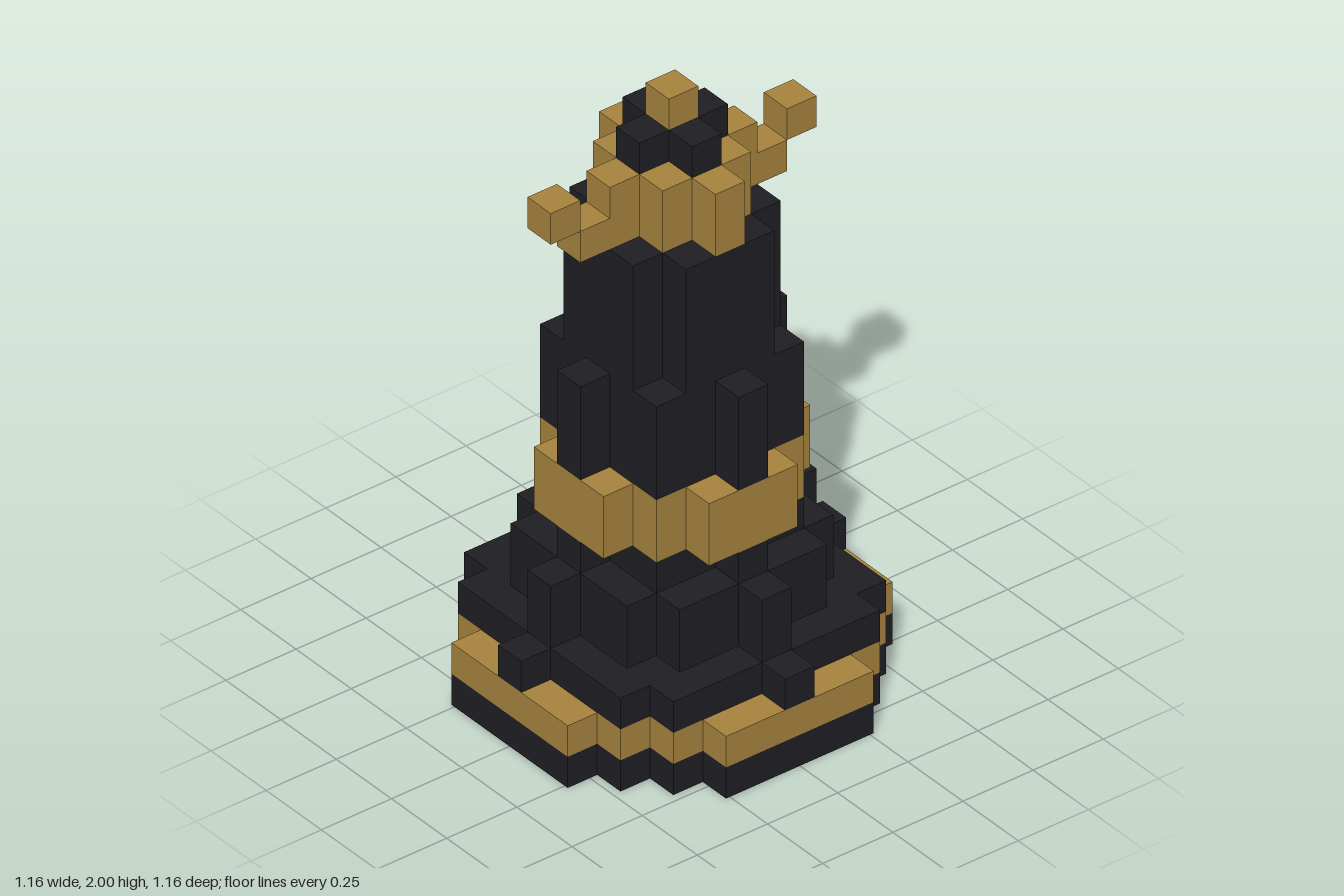
import * as THREE from 'three';

const U = 2 / 19; // edge of one block; the piece is 19 blocks tall
const black = new THREE.MeshStandardMaterial({ color: 0x1f1e23, flatShading: true });
const gold = new THREE.MeshStandardMaterial({ color: 0xa6833e, flatShading: true });

// Stepped outline of a disc made of square blocks
function blockDisc(radius) {
  const n = Math.floor(radius);
  const side = [];
  for (let z = -n; z <= n; z++) {
    const w = Math.floor(Math.sqrt(radius * radius - z * z)) + 0.5;
    side.push([w, z - 0.5], [w, z + 0.5]);
  }
  const mirrored = side.map(([x, z]) => [-x, z]).reverse();
  return new THREE.Shape([...side, ...mirrored].map(([x, z]) => new THREE.Vector2(x * U, z * U)));
}

// name, disc radius, first layer, number of layers, material
const tiers = [
  ['foot', 5.5, 0, 1, black],
  ['footBand', 5.5, 1, 1, gold],
  ['baseStep', 5, 2, 1, black],
  ['baseCollar', 4, 3, 2, black],
  ['waist', 3, 5, 1, black],
  ['waistBand', 3.5, 6, 2, gold],
  ['lowerBody', 3, 8, 3, black],
  ['upperBody', 2.5, 11, 4, black],
  ['crown', 2, 15, 2, gold],
  ['crownCap', 1, 17, 1, black],
  ['finial', 0.5, 18, 1, gold],
];

export function createModel() {
  const group = new THREE.Group();

  // Stacked round tiers
  for (const [name, radius, layer, count, material] of tiers) {
    const geometry = new THREE.ExtrudeGeometry(blockDisc(radius), { depth: count * U, bevelEnabled: false });
    geometry.rotateX(-Math.PI / 2);
    const mesh = new THREE.Mesh(geometry, material);
    mesh.name = name;
    mesh.position.y = layer * U;
    group.add(mesh);
  }

  // Crown arms: one block outward, then one up and outward
  for (const s of [-1, 1]) {
    const arm = new THREE.Group();
    arm.name = s > 0 ? 'leftCrownArm' : 'rightCrownArm';
    for (const [x, layer] of [[3, 15], [4, 16]]) {
      const block = new THREE.Mesh(new THREE.BoxGeometry(U, U, U), gold);
      block.name = x === 3 ? 'armBlock' : 'armTip';
      block.position.set(s * x * U, (layer + 0.5) * U, 0);
      arm.add(block);
    }
    group.add(arm);
  }
  return group;
}
